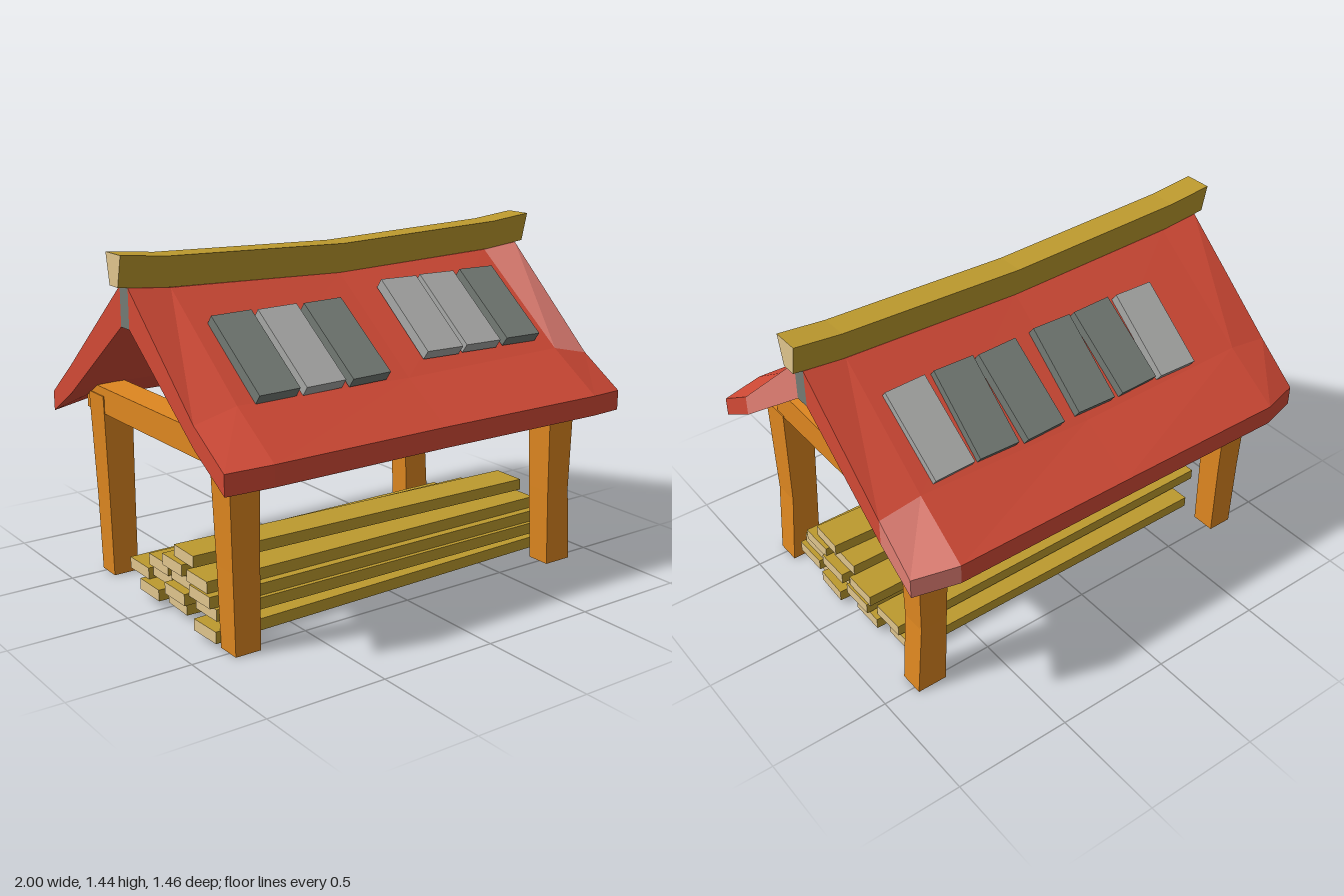
import * as THREE from 'three';

const mat = (name, color) => new THREE.MeshStandardMaterial({ name, color });

export function createModel() {
  const model = new THREE.Group();
  model.name = 'woodShelter';
  const red = mat('roofRed', 0xd24a36), pink = mat('fadedRed', 0xe27f74);
  const orange = mat('postOrange', 0xde8720), olive = mat('plankOlive', 0xbd9a2e);
  const tan = mat('cutWoodTan', 0xe0c58d), gray = mat('shingleGray', 0x737a74);
  const pale = mat('shinglePale', 0xa7a8a6);

  function add(name, geometry, material, parent = model) {
    const mesh = new THREE.Mesh(geometry, material);
    mesh.name = name;
    parent.add(mesh);
    return mesh;
  }

  // Lofts closed rings of [z, y] points along x; pick(part, bay, j) gives the material index.
  // Rings run from front top to back top, then back bottom to front bottom.
  function loft(xs, rings, pick) {
    const pos = [], geo = new THREE.BufferGeometry();
    const n = rings[0].length;
    const p = (i, j) => [xs[i], rings[i][j % n][1], rings[i][j % n][0]];
    const quad = (a, b, c, d, m) => {
      geo.addGroup(pos.length / 3, 6, m);
      pos.push(...a, ...b, ...c, ...a, ...c, ...d);
    };
    for (let i = 0; i < xs.length - 1; i++)
      for (let j = 0; j < n; j++)
        quad(p(i, j), p(i + 1, j), p(i + 1, j + 1), p(i, j + 1), pick('side', i, j));
    const e = xs.length - 1;
    for (let j = 0; j < n / 2 - 1; j++) {
      quad(p(0, j), p(0, j + 1), p(0, n - 2 - j), p(0, n - 1 - j), pick('startCap', 0, j));
      quad(p(e, n - 1 - j), p(e, n - 2 - j), p(e, j + 1), p(e, j), pick('endCap', e, j));
    }
    geo.setAttribute('position', new THREE.Float32BufferAttribute(pos, 3));
    geo.computeVertexNormals();
    return geo;
  }

  // Sagging roof with a slight kink in the slope, upright eaves and pulled-in corners
  const roofRing = (ridge, frontMid, backMid, under, eave, frontZ, backZ) => [
    [frontZ, eave], [0.49, frontMid], [0.032, ridge], [-0.032, ridge], [-0.49, backMid], [-backZ, eave],
    [-backZ, eave - 0.083], [-0.49, under], [-0.032, 1.155],
    [0.032, 1.155], [0.49, under], [frontZ, eave - 0.083],
  ];
  const end = roofRing(1.312, 0.895, 0.92, 0.806, 0.77, 0.69, 0.675);
  const bend = roofRing(1.295, 0.938, 0.945, 0.82, 0.782, 0.73, 0.732);
  const centre = roofRing(1.272, 0.925, 0.928, 0.815, 0.78, 0.716, 0.728);
  const roofGeo = loft([-0.96, -0.78, 0, 0.78, 0.96], [end, bend, centre, bend, end], (part, i, j) => {
    if (part !== 'side' && j === 2) return 2;
    if (part === 'endCap') return j === 1 || j === 4 ? 1 : 0;
    return part === 'side' && i === 3 && (j === 1 || j === 4 || j === 5) ? 1 : 0;
  });
  add('roof', roofGeo, [red, pink, gray]);

  // Ridge beam, wider at the top, with pale cut ends
  const beamRing = (y, h) => [[0.062, y + h], [-0.055, y + h], [-0.032, y], [0.032, y]];
  const ridgeGeo = loft([-1, -0.8, 0, 0.8, 1],
    [1.317, 1.297, 1.272, 1.297, 1.317].map((y) => beamRing(y, 0.123)),
    (part) => (part === 'side' ? 0 : 1));
  add('ridgeBeam', ridgeGeo, [olive, tan]);

  // Shingles lying on both slopes
  const shingles = new THREE.Group();
  shingles.name = 'shingles';
  model.add(shingles);
  function shingle(x, y, z, length, material, twist) {
    const side = Math.sign(z);
    const s = add('shingle', new THREE.BoxGeometry(0.178, 0.046, length), material, shingles);
    s.position.set(x, y, z);
    s.rotation.set(side * 0.65, twist, 0);
  }
  [[-0.62, 0], [-0.415, 1], [-0.205, 0], [0.2, 1], [0.4, 1], [0.615, 0]].forEach(([x, light], i) => {
    const low = i < 3;
    shingle(x, low ? 1.072 : 1.112, low ? 0.35 : 0.304, 0.395, light ? pale : gray, low ? 0.02 : -0.02);
  });
  [[-0.465, 1], [-0.26, 0], [-0.05, 0], [0.215, 0], [0.42, 0], [0.63, 1]].forEach(([x, light], i) =>
    shingle(x, 1.077, i % 3 ? -0.328 : -0.338, 0.375, light ? pale : gray, i % 2 ? 0.025 : -0.02));

  // Posts through three levels, each [x0, x1, z0, z1], from foot to head
  function post(name, levels) {
    const geo = new THREE.BoxGeometry(1, 1, 1, 1, 2, 1).toNonIndexed();
    const a = geo.attributes.position;
    for (let i = 0; i < a.count; i++) {
      const k = Math.round((a.getY(i) + 0.5) * 2);
      const r = levels[k];
      a.setXYZ(i, r[a.getX(i) > 0 ? 1 : 0], [0, 0.33, 0.785][k], r[a.getZ(i) > 0 ? 3 : 2]);
    }
    geo.computeVertexNormals();
    add(name, geo, orange);
  }
  const leftX = [[0.73, 0.86], [0.718, 0.836], [0.704, 0.842]];
  const rightX = [[-0.84, -0.73], [-0.847, -0.73], [-0.86, -0.728]];
  const frontZ = [[0.44, 0.545], [0.433, 0.547], [0.42, 0.555]];
  const backZ = [[-0.53, -0.425], [-0.534, -0.423], [-0.548, -0.42]];
  for (const [label, z] of [['front', frontZ], ['back', backZ]]) {
    post(label + 'LeftPost', leftX.map((x, k) => [...x, ...z[k]]));
    post(label + 'RightPost', rightX.map((x, k) => [...x, ...z[k]]));
  }

  // Cross beams; the left one dips in the middle
  const leftBeam = new THREE.BoxGeometry(0.135, 0.13, 0.94, 1, 1, 2);
  const lb = leftBeam.attributes.position;
  for (let i = 0; i < lb.count; i++)
    if (Math.abs(lb.getZ(i)) < 0.01) lb.setY(i, lb.getY(i) - (lb.getY(i) > 0 ? 0.018 : 0.005));
  leftBeam.computeVertexNormals();
  add('leftCrossBeam', leftBeam, orange).position.set(0.77, 0.842, 0);
  add('rightCrossBeam', new THREE.BoxGeometry(0.13, 0.11, 1.15), orange).position.set(-0.79, 0.766, 0);

  // Stacked planks: [z at left end, y, shift of the far end, x offset, length]
  const stack = new THREE.Group();
  stack.name = 'plankStack';
  model.add(stack);
  const endMaterials = [tan, tan, olive, olive, olive, olive];
  const planks = [
    [0.32, 0.045, 0.045, -0.03, 1.67], [0.147, 0.05, -0.06, 0.01, 1.67],
    [-0.087, 0.055, 0, -0.02, 1.67], [-0.28, 0.045, 0, 0.025, 1.51],
    [0.31, 0.105, 0, 0.01, 1.67], [0.138, 0.117, 0, -0.03, 1.67],
    [-0.047, 0.12, 0, 0.01, 1.65], [-0.217, 0.105, 0.012, -0.02, 1.63],
    [0.295, 0.155, 0, -0.01, 1.67], [0.122, 0.165, 0, 0.01, 1.67], [-0.06, 0.165, 0, 0, 1.65],
    [0.26, 0.203, 0, 0, 1.67], [0.087, 0.217, 0, -0.02, 1.65], [0.19, 0.267, -0.045, 0, 1.65],
  ];
  for (const [z, y, shift, x, length] of planks) {
    const p = add('plank', new THREE.BoxGeometry(length, 0.048, 0.154), endMaterials, stack);
    p.position.set(x, y, z + shift / 2);
    p.rotation.y = shift / length;
  }
  return model;
}
